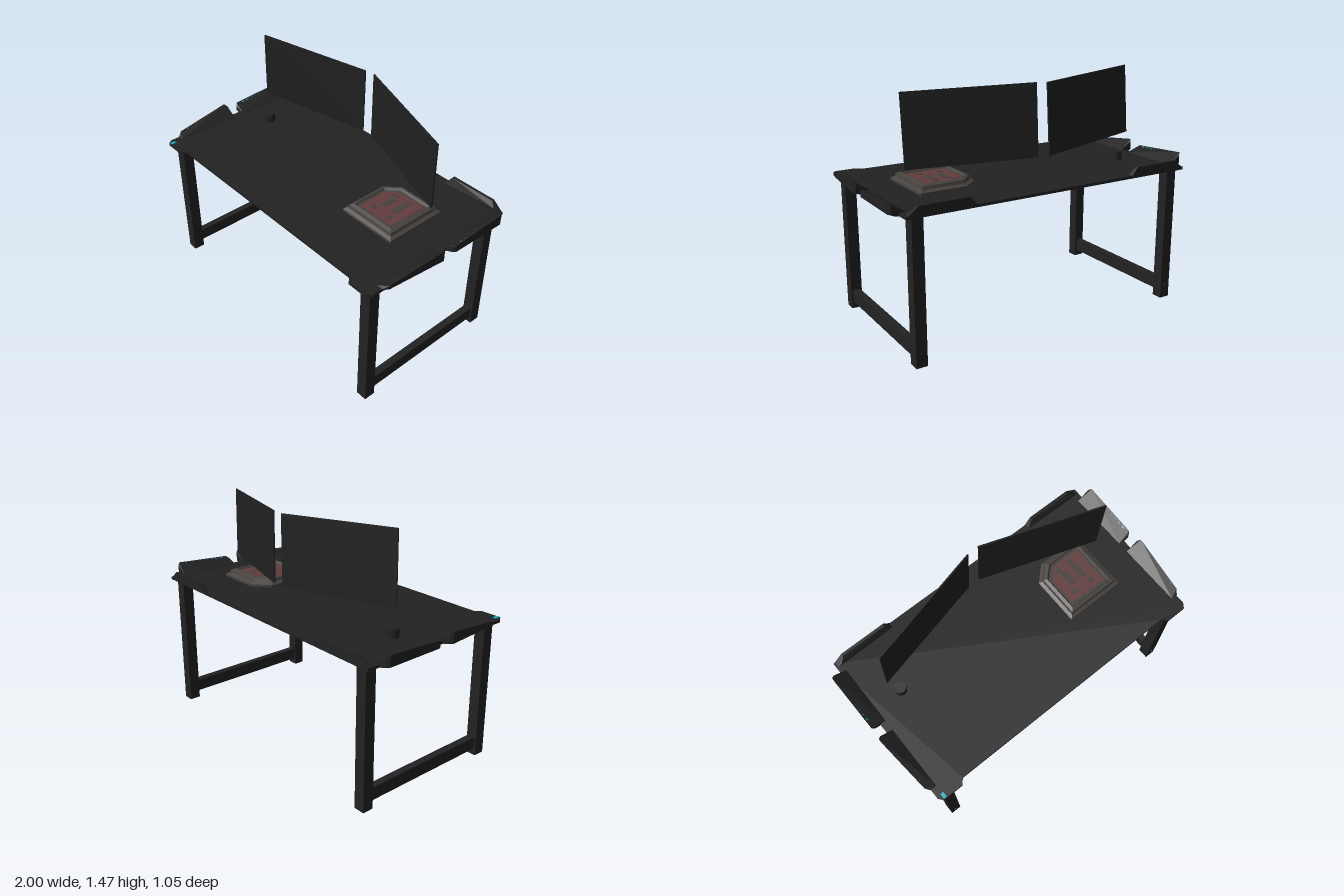
import * as THREE from 'three';
import { ConvexGeometry } from 'three/addons/geometries/ConvexGeometry.js';

const mat = (name, color, side = THREE.FrontSide) => {
  const m = new THREE.MeshStandardMaterial({ color, side });
  m.name = name;
  return m;
};
const V = (x, y, z) => new THREE.Vector3(x, y, z);

export function createModel() {
  const group = new THREE.Group();
  const black = mat('matte black', 0x222222);
  const screenBlack = mat('screen black', 0x202020);
  const grey = mat('warm grey', 0x46423f);
  const red = mat('dull red', 0x633d3d);
  const cyan = mat('cyan light', 0x12b0bc, THREE.DoubleSide);

  const add = (name, geo, material, parent = group) => {
    const m = new THREE.Mesh(geo, material);
    m.name = name;
    parent.add(m);
    return m;
  };
  // Box given by its minimum and maximum corners
  const box = (name, a, b, material) => {
    const m = add(name, new THREE.BoxGeometry(b[0] - a[0], b[1] - a[1], b[2] - a[2]), material);
    m.position.set((a[0] + b[0]) / 2, (a[1] + b[1]) / 2, (a[2] + b[2]) / 2);
    return m;
  };
  // Flat slab from an [x, z] outline
  const slab = (pts, y, h) => {
    const shape = new THREE.Shape(pts.map(([x, z]) => new THREE.Vector2(x, -z)));
    return new THREE.ExtrudeGeometry(shape, { depth: h, bevelEnabled: false })
      .rotateX(-Math.PI / 2).translate(0, y, 0);
  };

  // Desk top with projecting front corners
  const half = [[0.942, -0.53], [0.942, 0.49], [0.92, 0.52], [0.79, 0.52], [0.76, 0.487]];
  const mirrored = half.map(([x, z]) => [-x, z]).reverse();
  add('deskTop', slab([...half, ...mirrored], 0.848, 0.017), black);

  for (const s of [-1, 1]) {
    // Leg frame
    const x0 = Math.min(s * 0.835, s * 0.903), x1 = Math.max(s * 0.835, s * 0.903);
    box('frontLeg', [x0, 0, 0.405], [x1, 0.85, 0.475], black);
    box('backLeg', [x0, 0, -0.507], [x1, 0.85, -0.438], black);
    box('legRail', [x0 + 0.012, 0.042, -0.44], [x1 - 0.012, 0.12, 0.407], black);
    for (const z of [0.477, -0.51]) {
      const bolt = add('legBolt', new THREE.CylinderGeometry(0.008, 0.008, 0.008, 10), black);
      bolt.rotation.x = Math.PI / 2;
      bolt.position.set(s * 0.869, 0.08, z);
    }

    // Sloping side wings; each station is [z, outer x, top y]
    const wings = {
      frontWing: [[0.015, 0.985, 0.915], [0.03, 1, 0.93], [0.4, 0.965, 0.885], [0.43, 0.945, 0.868]],
      rearWing: [[-0.45, 0.985, 0.915], [-0.435, 1, 0.93], [-0.07, 0.995, 0.906], [-0.055, 0.98, 0.893]],
    };
    for (const [name, stations] of Object.entries(wings)) {
      const pts = [];
      for (const [z, x, y] of stations) {
        pts.push(V(s * x, y, z), V(s * x, 0.862, z), V(s * (x - 0.035), 0.848, z),
          V(s * 0.905, 0.848, z), V(s * 0.905, 0.867, z), V(s * 0.935, 0.868, z));
      }
      add(name, new ConvexGeometry(pts), black);

      // Light strips lying on the inner slope
      const [p, q] = [stations[1], stations[2]];
      const onSlope = (t, f) => {
        const mix = (i) => THREE.MathUtils.lerp(p[i], q[i], t);
        return V(s * THREE.MathUtils.lerp(0.935, mix(1), f),
          THREE.MathUtils.lerp(0.868, mix(2), f) + 0.004, mix(0));
      };
      const strip = (t0, t1, f0, f1) => {
        const c = [onSlope(t0, f0), onSlope(t1, f0), onSlope(t1, f1), onSlope(t0, f1)];
        const geo = new THREE.BufferGeometry().setFromPoints([c[0], c[1], c[2], c[0], c[2], c[3]]);
        geo.computeVertexNormals();
        add('lightStrip', geo, cyan);
      };
      const rear = name === 'rearWing';
      strip(0.03, 0.97, 0.22, rear ? 0.42 : 0.32);
      for (let i = 0; i < 9; i++) {
        const t = 0.05 + i * 0.1;
        strip(t, t + (rear ? 0.05 : 0.03), 0.66, rear ? 0.84 : 0.78);
      }
    }

    // Bevelled trim along the back edge
    const trim = [];
    for (const [x, y, zf] of [[0.935, 0.86, -0.495], [0.9, 0.885, -0.495], [0.87, 0.913, -0.515],
      [0.57, 0.913, -0.515], [0.53, 0.86, -0.495]]) {
      trim.push(V(s * x, y, -0.533), V(s * x, y, zf));
    }
    add('backTrim', new ConvexGeometry(trim), black);
  }

  // Small control light on the front corner
  box('cornerLight', [-0.915, 0.864, 0.482], [-0.895, 0.868, 0.516], cyan);

  // Tilted thin screens from their corners
  const screen = (name, corners) => {
    const c = corners.map((p) => V(...p));
    const n = c[1].clone().sub(c[0]).cross(c[2].clone().sub(c[0])).normalize().multiplyScalar(0.004);
    add(name, new ConvexGeometry(c.flatMap((p) => [p.clone().add(n), p.clone().sub(n)])), screenBlack);
  };
  screen('rightScreen', [[-0.755, 1.468, -0.16], [-0.03, 1.44, -0.352],
    [-0.045, 1.016, -0.362], [-0.775, 1.044, -0.175]]);
  screen('leftScreen', [[0.04, 1.445, -0.352], [0.765, 1.42, -0.112],
    [0.755, 0.99, -0.125], [0.03, 1.018, -0.362]]);

  // Cup
  add('cup', new THREE.CylinderGeometry(0.036, 0.036, 0.055, 24), black).position.set(-0.725, 0.89, -0.147);

  // Computer housing set through the desk: stacked rings of [scale, y]
  const outline = [[0.335, -0.16], [0.43, -0.25], [0.72, -0.25], [0.72, 0.15], [0.335, 0.15]];
  const cx = 0.528, cz = -0.05;
  const ringPts = (k) => outline.map(([x, z]) => [cx + (x - cx) * k, cz + (z - cz) * k]);
  const rings = [[0, 0.797], [0.66, 0.797], [0.7, 0.79], [0.84, 0.79], [0.99, 0.806], [0.99, 0.84],
    [0.94, 0.842], [0.94, 0.866], [1, 0.867], [1, 0.882], [0.9, 0.893], [0.87, 0.912],
    [0.77, 0.92], [0.72, 0.906], [0, 0.906]];
  const tris = [];
  for (let j = 0; j < rings.length - 1; j++) {
    const lo = ringPts(rings[j][0]), hi = ringPts(rings[j + 1][0]);
    const [y0, y1] = [rings[j][1], rings[j + 1][1]];
    for (let i = 0; i < 5; i++) {
      const k = (i + 1) % 5;
      const a = V(lo[i][0], y0, lo[i][1]), b = V(hi[i][0], y1, hi[i][1]);
      const c = V(lo[k][0], y0, lo[k][1]), d = V(hi[k][0], y1, hi[k][1]);
      if (rings[j + 1][0] > 0) tris.push(a, b, d);
      if (rings[j][0] > 0) tris.push(a, d, c);
    }
  }
  const housing = new THREE.BufferGeometry().setFromPoints(tris);
  housing.computeVertexNormals();
  add('computerHousing', housing, grey);
  box('housingSideRail', [0.71, 0.808, -0.252], [0.74, 0.84, 0.155], black);
  add('redWindow', slab(ringPts(0.64), 0.905, 0.004), red);

  // Grey vents seen in the red window
  for (const [x, z, w, d] of [[0.49, -0.065, 0.04, 0.1], [0.57, -0.065, 0.04, 0.1],
    [0.47, -0.14, 0.04, 0.025], [0.57, -0.14, 0.04, 0.025], [0.46, 0.03, 0.03, 0.03], [0.59, 0.03, 0.03, 0.03]]) {
    box('windowVent', [x - w / 2, 0.907, z - d / 2], [x + w / 2, 0.911, z + d / 2], grey);
  }

  return group;
}
